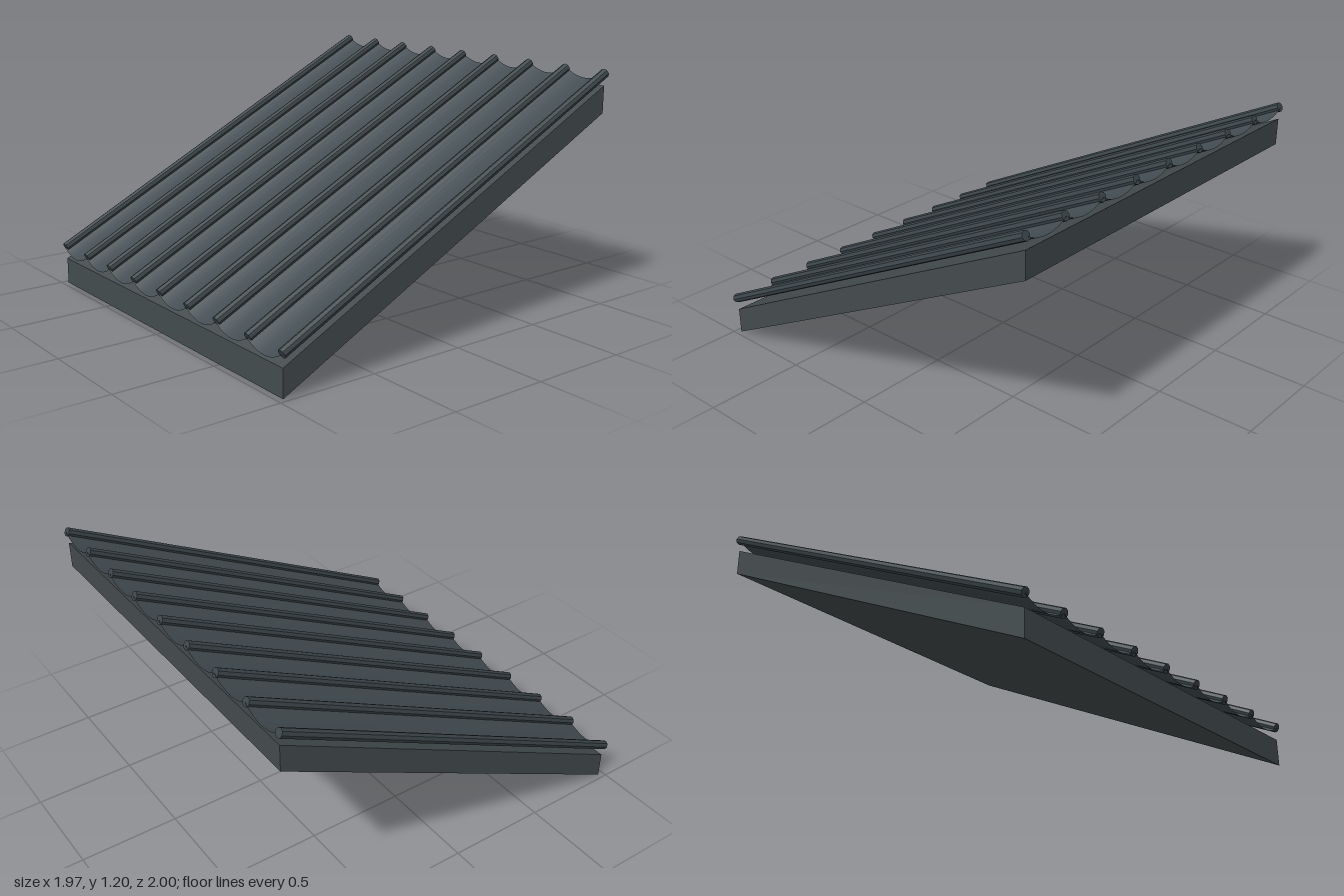
import * as THREE from 'three';

const SLOPE = 0.503;
const BAYS = 8;
const PITCH = 0.244;
const HALF = (BAYS * PITCH) / 2;

const paint = (name, color, extra = {}) => {
  const m = new THREE.MeshStandardMaterial({ color, ...extra });
  m.name = name;
  return m;
};

// Move every vertex up by a rule of its x and z
function lift(geometry, rule) {
  const p = geometry.attributes.position;
  for (let i = 0; i < p.count; i++) p.setY(i, p.getY(i) + rule(p.getX(i), p.getZ(i)));
  geometry.computeVertexNormals();
  return geometry;
}

export function createModel() {
  const model = new THREE.Group();
  model.name = 'slopedRoof';
  const slabGrey = paint('slabGrey', 0x444c4e);
  const tileSlate = paint('tileSlate', 0x434d52, { side: THREE.DoubleSide });
  const ribSlate = paint('ribSlate', 0x3c464a, { flatShading: true });

  const add = (name, geometry, material) => {
    const mesh = new THREE.Mesh(geometry, material);
    mesh.name = name;
    model.add(mesh);
    return mesh;
  };

  // Slanted slab with plumb-cut ends
  const slab = new THREE.BoxGeometry(1.94, 0.135, HALF * 2);
  add('roofSlab', lift(slab, (x) => 0.5575 + x * 0.505), slabGrey);

  // Sagging tile channels between the ribs
  for (let i = 0; i < BAYS; i++) {
    const channel = new THREE.PlaneGeometry(1.955, PITCH, 1, 10).rotateX(-Math.PI / 2);
    lift(channel, (x, z) => 0.647 + x * SLOPE + 0.038 * (z / (PITCH / 2)) ** 2);
    add('tileChannel', channel, tileSlate).position.z = -HALF + (i + 0.5) * PITCH;
  }

  // Round cover ribs running up the slope
  const angle = Math.atan(SLOPE);
  const rib = new THREE.CylinderGeometry(0.0235, 0.0235, 1.947 / Math.cos(angle), 8);
  rib.rotateZ(angle - Math.PI / 2);
  for (let i = 0; i <= BAYS; i++) {
    add('coverRib', rib, ribSlate).position.set(-0.002, 0.688, -HALF + i * PITCH);
  }

  return model;
}
